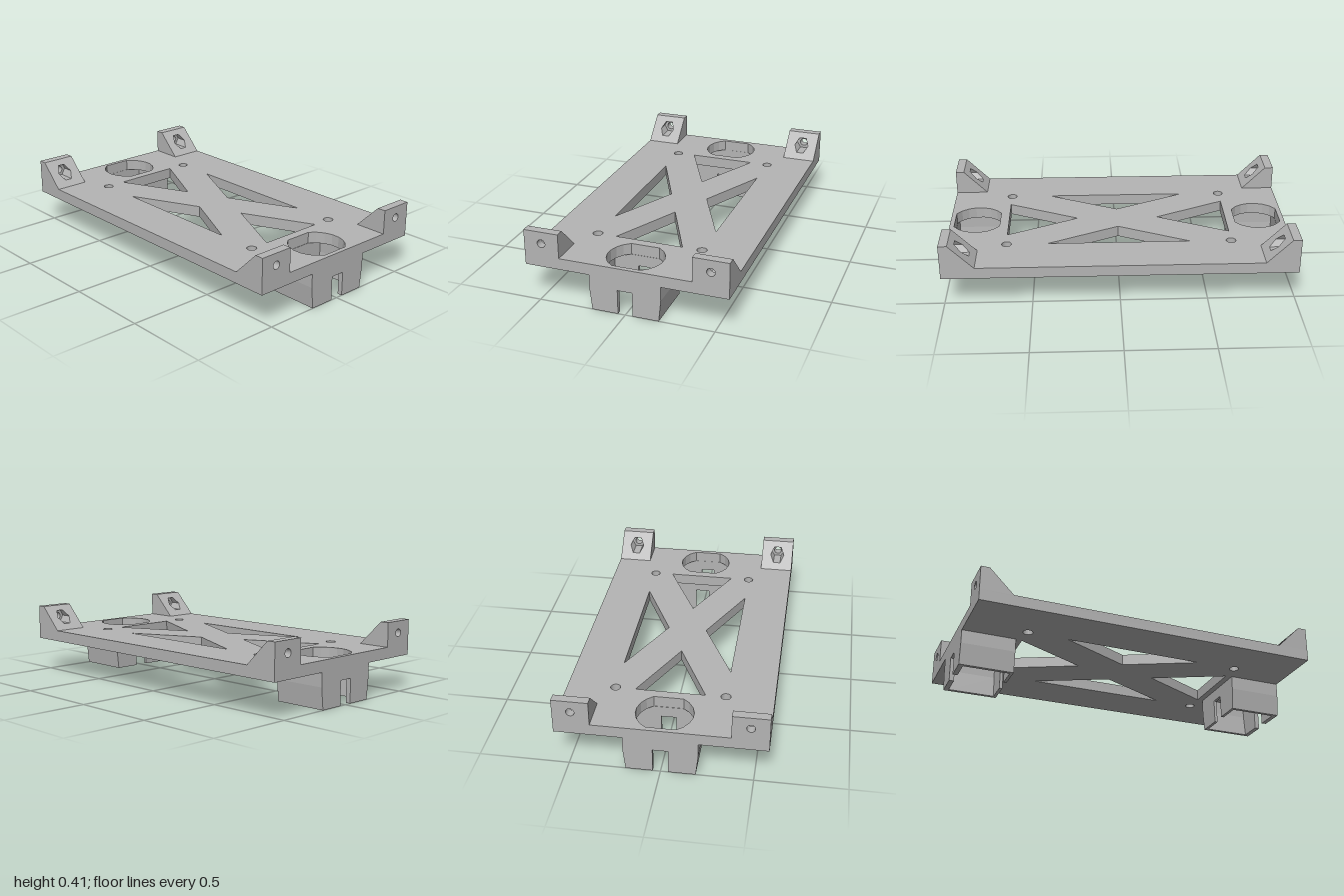
import * as THREE from 'three';

const BASE = 0.205, TOP = 0.27, BRACKET_TOP = 0.41;

const poly = (pts, Type = THREE.Shape) => new Type(pts.map(([x, y]) => new THREE.Vector2(x, y)));
const hole = pts => poly(pts, THREE.Path);
const circle = (x, y, r) => new THREE.Path().absarc(x, y, r, 0, Math.PI * 2, true);
const rect = (x0, x1, y0, y1) => poly([[x0, y0], [x1, y0], [x1, y1], [x0, y1]]);
const extrude = (shape, depth, z = 0, curveSegments = 12) =>
  new THREE.ExtrudeGeometry(shape, { depth, bevelEnabled: false, curveSegments }).translate(0, 0, z);

// Flat plate with cross-shaped bracing, screw holes and two round openings
function plateGeometry() {
  const s = rect(-0.575, 0.575, -1, 1);
  for (const k of [-1, 1]) {
    s.holes.push(hole([[-0.195, 0.65 * k], [0.195, 0.65 * k], [0, 0.24 * k]]));
    s.holes.push(hole([[0.307 * k, -0.41], [0.307 * k, 0.41], [0.113 * k, 0]]));
    for (const x of [-0.307, 0.307]) s.holes.push(circle(x, 0.648 * k, 0.028));
    // circle cut flat at both ends
    const pts = [], n = 7, a = Math.asin(0.135 / 0.158);
    for (const start of [0, Math.PI]) {
      for (let i = 0; i <= n; i++) {
        const t = start - a + (2 * a * i) / n;
        pts.push([0.158 * Math.cos(t), 0.838 * k + 0.158 * Math.sin(t)]);
      }
    }
    s.holes.push(hole(pts));
  }
  return extrude(s, TOP - BASE).rotateX(-Math.PI / 2).translate(0, BASE, 0);
}

// Sloped bracket half with a hexagonal nut pocket
function pocketGeometry(cx, cy) {
  const s = rect(cx - 0.1, cx + 0.1, TOP, BRACKET_TOP);
  const hex = [];
  for (let i = 0; i < 6; i++) {
    const a = (i * Math.PI) / 3;
    hex.push([cx + 0.044 * Math.cos(a), cy + 0.044 * Math.sin(a)]);
  }
  s.holes.push(hole(hex));
  const g = extrude(s, 1);
  const p = g.attributes.position;
  for (let i = 0; i < p.count; i++) p.setZ(i, p.getZ(i) > 0.5 ? 0.95 : p.getY(i) + 0.54);
  g.computeVertexNormals();
  return g;
}

export function createModel() {
  const grey = new THREE.MeshStandardMaterial({ color: 0xb4b4b4 });
  grey.name = 'grey';
  const model = new THREE.Group();
  model.name = 'mountingPlate';
  const add = (parent, name, geometry) => {
    const m = new THREE.Mesh(geometry, grey);
    m.name = name;
    parent.add(m);
  };

  add(model, 'plate', plateGeometry());

  // Both ends are the same, turned half a revolution
  for (const [name, turn] of [['frontEnd', 0], ['backEnd', Math.PI]]) {
    const end = new THREE.Group();
    end.name = name;
    end.rotation.y = turn;
    model.add(end);

    // Corner brackets with screw holes
    for (const side of [-1, 1]) {
      const cx = 0.475 * side, cy = 0.342;
      const wall = rect(cx - 0.1, cx + 0.1, TOP, BRACKET_TOP);
      wall.holes.push(circle(cx, cy, 0.023));
      add(end, 'bracketWall', extrude(wall, 0.05, 0.95));
      add(end, 'nutPocket', pocketGeometry(cx, cy));
    }

    // Open socket below the plate: slotted end walls and tapered side walls
    const slotted = poly([
      [-0.19, 0], [-0.042, 0], [-0.042, 0.14], [0.042, 0.14], [0.042, 0], [0.19, 0],
      [0.203, 0.125], [0.203, BASE], [-0.203, BASE], [-0.203, 0.125],
    ]);
    add(end, 'socketOuterWall', extrude(slotted, 0.028, 0.972));
    add(end, 'socketInnerWall', extrude(slotted, 0.018, 0.687));
    for (const k of [-1, 1]) {
      const sideWall = poly([
        [0.17 * k, 0], [0.19 * k, 0], [0.203 * k, 0.125],
        [0.203 * k, BASE], [0.183 * k, BASE], [0.183 * k, 0.125],
      ]);
      add(end, 'socketSideWall', extrude(sideWall, 0.267, 0.705));
    }
  }
  return model;
}
